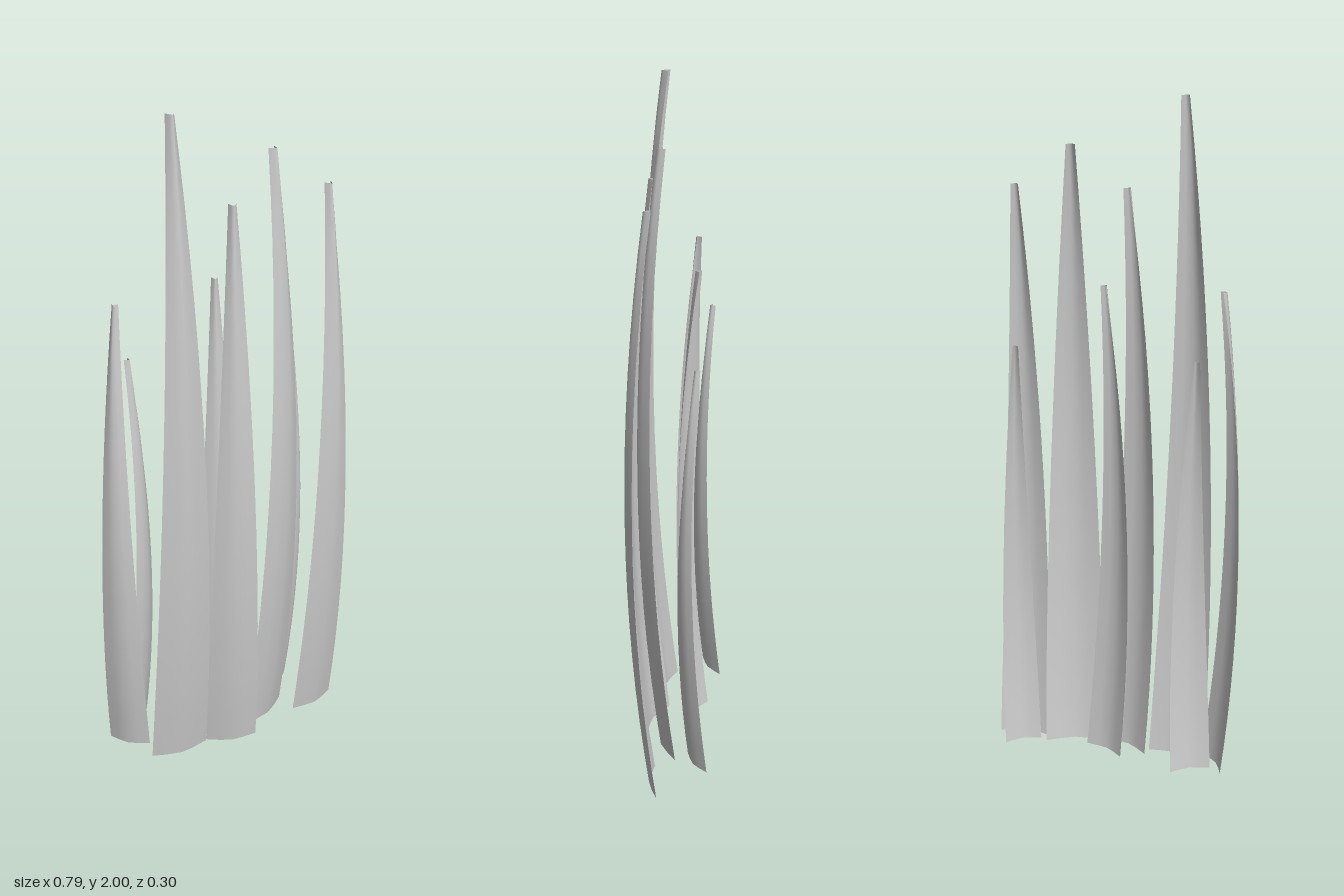
import * as THREE from 'three';

const ROWS = 16, COLS = 4;

// Thin curved blade: shallow V section, tapering upward and bowing forward.
// a and b are the [x, z] ends of its base, y0 and y1 its lowest and highest points.
function makeBlade(a, b, y0, y1) {
  const dx = b[0] - a[0], dz = b[1] - a[1];
  const width = Math.hypot(dx, dz), height = y1 - y0, size = height / 1.98;
  const geometry = new THREE.PlaneGeometry(1, 1, COLS, ROWS);
  const p = geometry.attributes.position;
  for (let i = 0; i < p.count; i++) {
    const s = p.getX(i) * 2, t = p.getY(i) + 0.5;
    const half = (width / 2) * (1 - 0.86 * Math.pow(t, 1.6));
    const bow = 0.27 * t * (1 - t) + 0.003 * t;
    const fold = 0.022 * (1 - Math.pow(Math.abs(s), 1.4));
    p.setXYZ(i, s * half, t * height, size * (bow + fold));
  }
  geometry.computeVertexNormals();

  const material = new THREE.MeshStandardMaterial({ color: 0xcccccc, side: THREE.DoubleSide });
  const blade = new THREE.Mesh(geometry, material);
  blade.position.set((a[0] + b[0]) / 2, y0, (a[1] + b[1]) / 2);
  blade.rotation.y = -Math.atan2(dz, dx);
  return blade;
}

export function createModel() {
  const group = new THREE.Group();
  group.name = 'grassBlades';
  const blades = [
    ['farRightBlade', [-0.37, -0.037], [-0.275, 0.048], 0.05, 1.49],
    ['backRightBlade', [-0.327, -0.012], [-0.232, -0.088], 0.045, 1.3],
    ['tallBlade', [-0.273, 0.062], [-0.092, 0.062], 0.01, 2.0],
    ['middleFrontBlade', [-0.084, 0.046], [0.071, 0.082], 0, 1.74],
    ['middleBackBlade', [-0.063, -0.082], [0.065, -0.05], 0.05, 1.49],
    ['leftFrontBlade', [0.054, 0.046], [0.216, -0.038], 0.015, 1.86],
    ['farLeftBlade', [0.237, 0.019], [0.39, -0.021], 0, 1.74],
    ['backLeftBlade', [0.212, -0.077], [0.295, -0.151], 0.045, 1.3],
  ];
  for (const [name, a, b, y0, y1] of blades) {
    const blade = makeBlade(a, b, y0, y1);
    blade.name = name;
    group.add(blade);
  }
  return group;
}
